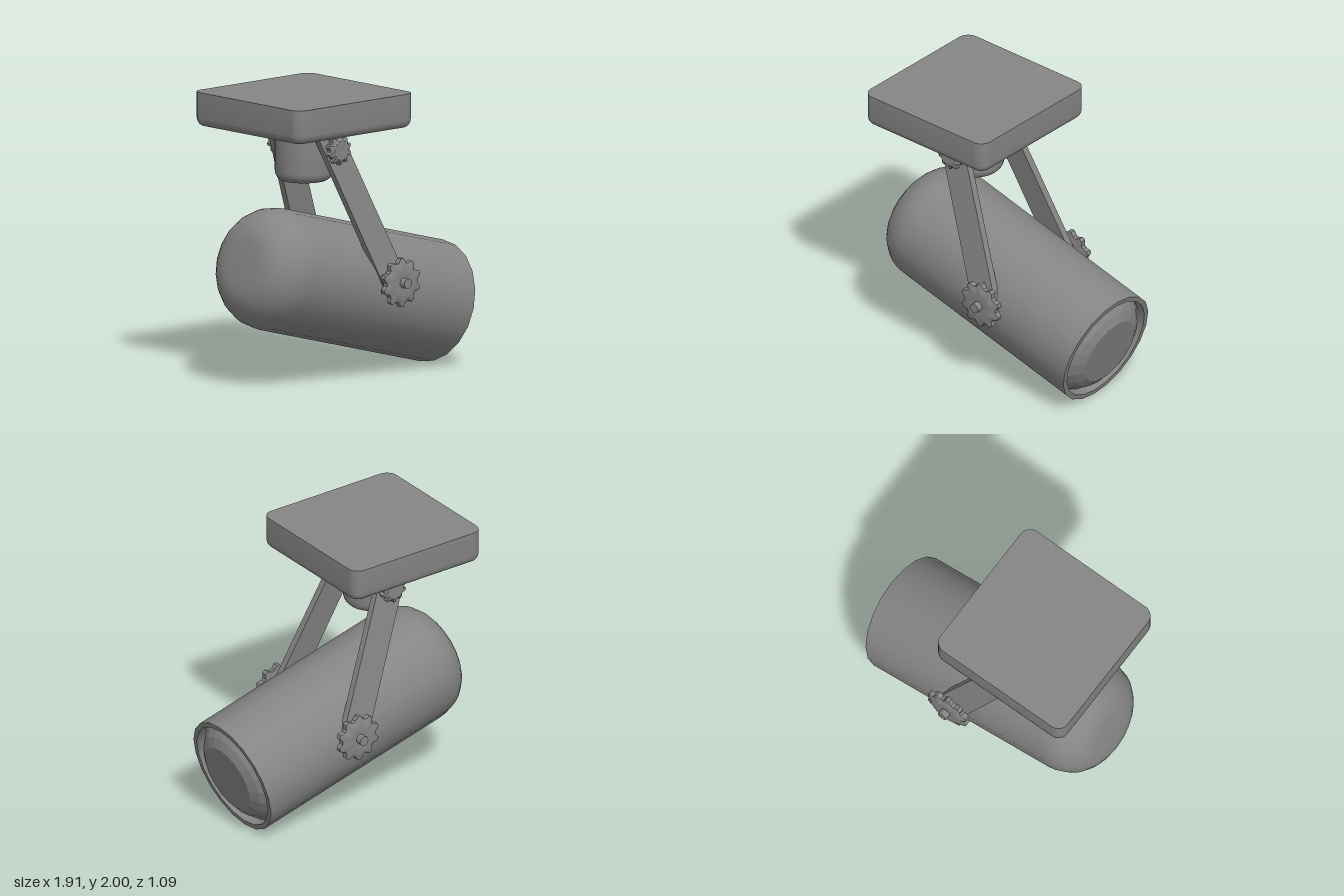
import * as THREE from 'three';
import { toCreasedNormals } from 'three/addons/utils/BufferGeometryUtils.js';

const V = (x, y) => new THREE.Vector2(x, y);

export function createModel() {
  const root = new THREE.Group();
  const color = 0x858585;
  const smooth = new THREE.MeshStandardMaterial({ color });
  const flat = new THREE.MeshStandardMaterial({ color, flatShading: true });
  const open = new THREE.MeshStandardMaterial({ color, side: THREE.DoubleSide });

  const add = (parent, name, geometry, material = smooth) => {
    const mesh = new THREE.Mesh(geometry, material);
    mesh.name = name;
    parent.add(mesh);
    return mesh;
  };
  // Closed lower end with a rounded edge of radius f
  const roundedBottom = (r, y, f, steps) => {
    const points = [V(0, y)];
    for (let i = 0; i <= steps; i++) {
      const a = (i / steps) * Math.PI / 2;
      points.push(V(r - f + f * Math.sin(a), y + f - f * Math.cos(a)));
    }
    return points;
  };
  const lathe = (points, sides) => toCreasedNormals(new THREE.LatheGeometry(points, sides), 0.6);

  // Ceiling plate: rounded lower edge, flat top (upper bevel pressed into the top plane)
  const h = 0.48, c = 0.02;
  const outline = new THREE.Shape();
  outline.absarc(h - c, h - c, c, 0, Math.PI / 2);
  outline.absarc(c - h, h - c, c, Math.PI / 2, Math.PI);
  outline.absarc(c - h, c - h, c, Math.PI, Math.PI * 1.5);
  outline.absarc(h - c, c - h, c, Math.PI * 1.5, Math.PI * 2);
  const plate = new THREE.ExtrudeGeometry(outline, {
    depth: 0.18, bevelThickness: 0.06, bevelSize: 0.06, bevelSegments: 4, curveSegments: 5,
  });
  plate.rotateX(-Math.PI / 2).translate(-0.34, 1.82, 0);
  const pp = plate.attributes.position;
  for (let i = 0; i < pp.count; i++) pp.setY(i, Math.min(pp.getY(i), 2));
  add(root, 'ceilingPlate', toCreasedNormals(plate, 0.6));

  // Stem under the plate
  add(root, 'stem', lathe([...roundedBottom(0.2, 1.39, 0.07, 5), V(0.2, 1.78)], 32)).position.x = -0.338;

  // Lamp can, tilted down 15 degrees; its local y points out of the opening
  const lamp = new THREE.Group();
  lamp.name = 'lamp';
  lamp.position.set(0.845, 0.411, 0);
  lamp.rotation.z = -THREE.MathUtils.degToRad(105);
  root.add(lamp);
  add(lamp, 'housing', lathe([
    ...roundedBottom(0.422, -1.815, 0.275, 8), V(0.422, 0), V(0.385, 0), V(0.385, -0.1),
  ], 20), open);
  add(lamp, 'lens', new THREE.LatheGeometry([
    V(0.385, -0.07), V(0.31, 0.005), V(0.245, 0.04), V(0, 0.04),
  ], 20), flat);

  // Ten-toothed hand knob, pressed out along y, its teeth sloping back to the rim
  const knobGeometry = (R, depth) => {
    const profile = [
      V(0, 0), V(0.7 * R, 0), V(R, 0.1 * depth), V(R, 0.7 * depth),
      V(0.65 * R, depth), V(0.3 * R, 0.92 * depth), V(0, 0.92 * depth),
    ];
    const g = new THREE.LatheGeometry(profile, 40, Math.PI / 40);
    const p = g.attributes.position;
    for (let i = 0; i < p.count; i++) {
      const column = Math.floor(i / profile.length), ring = i % profile.length;
      const valley = (column + 1) % 4 > 1;
      if (valley && (ring === 2 || ring === 3)) {
        p.setX(i, p.getX(i) * 0.83);
        p.setZ(i, p.getZ(i) * 0.83);
      }
    }
    return toCreasedNormals(g, 0.7);
  };

  // Yoke arms splay outward on their way down, with knobs and pins at both ends
  const armShape = new THREE.Shape([
    V(-0.44, 1.72), V(0.0, 0.685), V(0.03, 0.61), V(0.08, 0.575),
    V(0.2, 0.62), V(0.225, 0.69), V(-0.22, 1.72),
  ]);
  for (const [name, s] of [['frontYoke', 1], ['backYoke', -1]]) {
    const yoke = new THREE.Group();
    yoke.name = name;
    root.add(yoke);

    const arm = new THREE.ExtrudeGeometry(armShape, { depth: 0.05, bevelEnabled: false });
    const p = arm.attributes.position;
    for (let i = 0; i < p.count; i++) {
      p.setZ(i, p.getZ(i) - 0.025 + s * (0.235 + (1.72 - p.getY(i)) * 0.165));
    }
    add(yoke, 'arm', arm, flat);

    const joints = [
      { name: 'upper', x: -0.293, y: 1.633, R: 0.102, z: 0.27, pin: 0.03, from: 0.18, to: 0.325 },
      { name: 'lower', x: 0.127, y: 0.686, R: 0.168, z: 0.44, pin: 0.035, from: 0.38, to: 0.543 },
    ];
    for (const j of joints) {
      const knob = add(yoke, j.name + 'Knob', knobGeometry(j.R, 0.065));
      knob.rotation.x = s * Math.PI / 2;
      knob.position.set(j.x, j.y, s * j.z);
      const pin = add(yoke, j.name + 'Pin',
        toCreasedNormals(new THREE.CylinderGeometry(j.pin, j.pin, j.to - j.from, 16), 0.6));
      pin.rotation.x = Math.PI / 2;
      pin.position.set(j.x, j.y, s * (j.from + j.to) / 2);
    }
  }
  return root;
}
